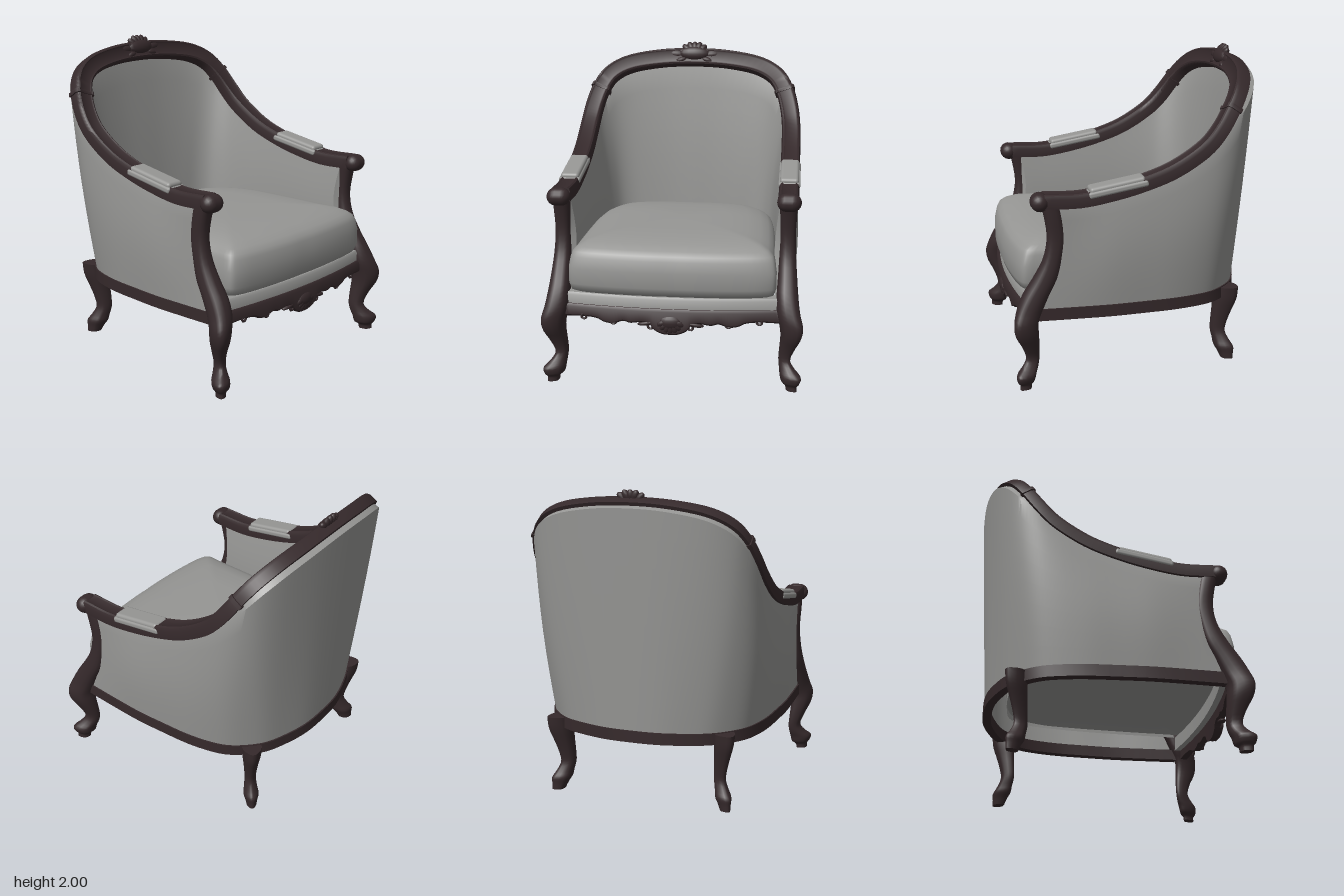
import * as THREE from 'three';
import { toCreasedNormals } from 'three/addons/utils/BufferGeometryUtils.js';
import { RoundedBoxGeometry } from 'three/addons/geometries/RoundedBoxGeometry.js';

const V = (x, y, z) => new THREE.Vector3(x, y, z);
const smooth = THREE.MathUtils.smoothstep;

// Skin a list of rings; closed solids are turned so their faces point outwards
function loft(rings, { closed = true, caps = true, crease = 0.7 } = {}) {
  const m = rings[0].length, n = rings.length, idx = [];
  const pts = rings.flat();
  for (let i = 0; i < n - 1; i++) {
    for (let j = 0; j < (closed ? m : m - 1); j++) {
      const a = i * m + j, b = i * m + (j + 1) % m;
      idx.push(a, b, b + m, a, b + m, a + m);
    }
  }
  if (caps) {
    for (const i of [0, n - 1]) {
      const c = pts.length;
      pts.push(rings[i].reduce((s, p) => s.add(p), V(0, 0, 0)).divideScalar(m));
      for (let j = 0; j < m; j++) {
        const a = i * m + j, b = i * m + (j + 1) % m;
        i ? idx.push(c, a, b) : idx.push(c, b, a);
      }
    }
  }
  let volume = 0;
  for (let k = 0; k < idx.length; k += 3) {
    volume += pts[idx[k]].dot(V(0, 0, 0).crossVectors(pts[idx[k + 1]], pts[idx[k + 2]]));
  }
  if (volume < 0) idx.reverse();
  const g = new THREE.BufferGeometry().setFromPoints(pts);
  g.setIndex(idx);
  return toCreasedNormals(g, crease);
}

// Half of a path, completed by mirroring across x = 0
const mirrored = (half) => new THREE.CatmullRomCurve3([
  ...half.map((p) => V(...p)),
  ...half.slice(0, -1).reverse().map(([x, y, z]) => V(-x, y, z)),
]);

const railPath = mirrored([
  [0.71, 1.19, 0.62], [0.71, 1.185, 0.4], [0.71, 1.215, 0.2], [0.71, 1.265, 0],
  [0.71, 1.34, -0.2], [0.705, 1.47, -0.4], [0.69, 1.57, -0.49], [0.655, 1.68, -0.565],
  [0.595, 1.77, -0.625], [0.48, 1.835, -0.675], [0.25, 1.878, -0.715], [0, 1.89, -0.725]]);
const outerBase = mirrored([
  [0.735, 0.5, 0.66], [0.745, 0.5, 0.42], [0.75, 0.5, 0.2], [0.74, 0.5, 0],
  [0.725, 0.5, -0.2], [0.69, 0.5, -0.37], [0.65, 0.5, -0.47], [0.58, 0.5, -0.56],
  [0.48, 0.5, -0.645], [0.35, 0.5, -0.7], [0.18, 0.5, -0.745], [0, 0.5, -0.755]]);
const innerBase = mirrored([
  [0.64, 0.58, 0.64], [0.635, 0.58, 0.4], [0.63, 0.58, 0.2], [0.62, 0.58, 0],
  [0.6, 0.58, -0.2], [0.57, 0.58, -0.37], [0.54, 0.58, -0.45], [0.49, 0.58, -0.53],
  [0.41, 0.58, -0.575], [0.28, 0.58, -0.595], [0.14, 0.58, -0.605], [0, 0.58, -0.605]]);

// Point on the rail, w inwards across its face and n out of its face
function railPoint(t, w, n) {
  const p = railPath.getPoint(t), T = railPath.getTangent(t);
  const rise = Math.max(0, p.y - 1.45);
  const I = V(-p.x, -rise, 0.4 * rise);
  I.addScaledVector(T, -I.dot(T)).normalize();
  const N = V(0, 0, 0).crossVectors(T, I);
  return p.addScaledVector(I, w).addScaledVector(N, n);
}
const RAIL = [[-0.06, -0.045], [-0.064, 0.015], [-0.056, 0.036], [-0.045, 0.042], [-0.035, 0.036],
  [0.035, 0.036], [0.045, 0.042], [0.056, 0.036], [0.064, 0.015], [0.06, -0.045]];
function railLoft(t0, t1, steps, scale) {
  const rings = [];
  for (let i = 0; i <= steps; i++) {
    const t = t0 + (t1 - t0) * i / steps;
    rings.push(RAIL.map(([w, n]) => railPoint(t, w * scale, n * scale)));
  }
  return loft(rings);
}

// Upright carved member from rows of [y, x0, x1, z0, z1], flattened below the seat along a diagonal
function legLoft(rows, side, diagonal) {
  const mid = new THREE.CatmullRomCurve3(rows.map(([y, a, b, c, d]) => V((a + b) / 2, y, (c + d) / 2)));
  const half = new THREE.CatmullRomCurve3(rows.map(([y, a, b, c, d]) => V((b - a) / 2, y, (d - c) / 2)));
  const rings = [], steps = rows.length * 3, sq = (v) => Math.sign(v) * Math.abs(v) ** 0.75;
  for (let i = 0; i <= steps; i++) {
    const c = mid.getPoint(i / steps), h = half.getPoint(i / steps);
    const skew = Math.PI / 4 - 0.22 * (1 - smooth(c.y, 0.4, 0.65));
    rings.push(Array.from({ length: 16 }, (_, k) => {
      const a = (k + 0.5) / 16 * Math.PI * 2;
      return V(side * (c.x + h.x * sq(Math.cos(a - skew))), Math.max(0, c.y),
        c.z + diagonal * h.z * sq(Math.cos(a + skew)));
    }));
  }
  return loft(rings, { crease: 0.9 });
}
const FRONT_LEG = [
  [1.16, 0.655, 0.765, 0.52, 0.635], [1.08, 0.66, 0.765, 0.505, 0.615], [0.95, 0.665, 0.76, 0.49, 0.6],
  [0.82, 0.66, 0.765, 0.51, 0.625], [0.7, 0.655, 0.775, 0.54, 0.69], [0.6, 0.65, 0.785, 0.59, 0.755],
  [0.5, 0.65, 0.8, 0.63, 0.8], [0.42, 0.67, 0.82, 0.66, 0.82], [0.35, 0.68, 0.81, 0.66, 0.81],
  [0.26, 0.675, 0.77, 0.655, 0.765], [0.18, 0.67, 0.745, 0.655, 0.745], [0.13, 0.675, 0.775, 0.665, 0.775],
  [0.09, 0.68, 0.815, 0.68, 0.81], [0.05, 0.69, 0.805, 0.69, 0.805], [0.03, 0.715, 0.79, 0.71, 0.79],
  [0, 0.72, 0.79, 0.715, 0.79]];
// Rows of [y, shift outwards along the diagonal, half width]
const BACK_LEG = [[0.5, 0, 0.067], [0.42, -0.01, 0.068], [0.33, -0.025, 0.056], [0.25, -0.038, 0.047],
  [0.18, -0.043, 0.043], [0.12, -0.025, 0.05], [0.08, -0.01, 0.058], [0.04, 0, 0.046], [0, 0.008, 0.037],
].map(([y, d, h]) => [y, 0.565 + d - h, 0.565 + d + h, -0.602 - d - h, -0.602 - d + h]);

// Bowed strip across the front between a top edge and a bottom edge
function frontStrip(bottom, top, z, depth) {
  const rings = [];
  for (let i = -40; i <= 40; i++) {
    const p = bottom.getPoint(Math.abs(i) / 40), x = Math.sign(i) * p.x;
    const f = z + 0.055 * (1 - (x / 0.67) ** 2);
    rings.push([V(x, top, f - 0.012), V(x, top - 0.015, f), V(x, p.y + 0.012, f), V(x, p.y, f - 0.012),
      V(x, p.y, f - depth), V(x, top, f - depth)]);
  }
  return loft(rings);
}

export function createModel() {
  const model = new THREE.Group();
  model.name = 'armchair';
  const wood = new THREE.MeshStandardMaterial({ name: 'dark wood', color: 0x35292b });
  const fabric = new THREE.MeshStandardMaterial({ name: 'grey fabric', color: 0x969694, side: THREE.DoubleSide });
  const add = (name, geometry, material, parent = model) => {
    const mesh = new THREE.Mesh(geometry, material);
    mesh.name = name;
    parent.add(mesh);
    return mesh;
  };

  // Upholstered wrap: outer wall, tucked into the rail, and lining back down
  const wrap = [], S = 88;
  for (let i = 0; i <= S; i++) {
    const t = 0.012 + 0.976 * i / S, end = i === 0 || i === S;
    const high = smooth(railPath.getPoint(t).y, 1.4, 1.85);
    const belly = 0.03 * smooth(Math.min(t, 1 - t), 0.01, 0.1);
    const wall = (base, w, n, bulgeX, bulgeZ) => Array.from({ length: 9 }, (_, k) => {
      const v = k / 8, p = base.getPoint(i / S).lerp(railPoint(t, w, n), v), b = Math.sin(Math.PI * v);
      p.x *= 1 + bulgeX * b;
      p.z *= 1 + bulgeZ * b;
      if (end) p.z -= 0.05 * b;
      return p;
    });
    wrap.push([...wall(outerBase, -0.04, -0.04 - 0.045 * high, belly, 0), railPoint(t, -0.035, -0.02),
      ...wall(innerBase, 0.05, -0.03, -0.03, -0.025).reverse()]);
  }
  add('upholsteredBack', loft(wrap, { closed: false }), fabric);

  // Curved top rail and its collars
  add('topRail', railLoft(0, 1, 110, 1), wood);
  add('leftRailCollar', railLoft(0.314, 0.323, 2, 1.15), wood);
  add('rightRailCollar', railLoft(0.677, 0.686, 2, 1.15), wood);

  // Seat rail around sides and back
  const seatRail = [];
  for (let i = 0; i <= 60; i++) {
    const p = outerBase.getPoint(i / 60), T = outerBase.getTangent(i / 60), I = V(T.z, 0, -T.x);
    seatRail.push([[-0.01, 0.505], [-0.01, 0.43], [0.045, 0.43], [0.045, 0.505]].map(([w, y]) =>
      V(p.x + I.x * w, y, p.z + I.z * w)));
  }
  add('seatRail', loft(seatRail), wood);

  // Scalloped apron and padded band above it
  const scallop = new THREE.SplineCurve([[0, 0.348], [0.05, 0.352], [0.1, 0.375], [0.13, 0.41], [0.18, 0.425],
    [0.25, 0.415], [0.3, 0.425], [0.36, 0.405], [0.42, 0.41], [0.47, 0.432], [0.56, 0.438], [0.67, 0.43],
  ].map((p) => new THREE.Vector2(...p)));
  const level = new THREE.LineCurve(new THREE.Vector2(0, 0.49), new THREE.Vector2(0.665, 0.49));
  add('frontApron', frontStrip(scallop, 0.515, 0.745, 0.06), wood);
  add('frontBand', frontStrip(level, 0.585, 0.725, 0.08), fabric);

  // Crowned seat cushion, sinking a little towards the back
  const plan = mirrored([[0, 0, 0.8], [0.15, 0, 0.8], [0.4, 0, 0.785], [0.59, 0, 0.755], [0.64, 0, 0.725],
    [0.64, 0, 0.6], [0.63, 0, 0.2], [0.61, 0, -0.15], [0.58, 0, -0.36], [0.49, 0, -0.53], [0.32, 0, -0.6],
    [0, 0, -0.61]]);
  const cushion = [[0.59, 0.95], [0.605, 0.985], [0.65, 1.005], [0.75, 1.005], [0.82, 0.985], [0.85, 0.965],
    [0.875, 0.92], [0.9, 0.84], [0.92, 0.7], [0.932, 0.45], [0.935, 0.02]].map(([y, s]) =>
    Array.from({ length: 88 }, (_, k) => {
      const p = plan.getPoint(k / 88), z = 0.1 + (p.z - 0.1) * s;
      return V(p.x * s, y - 0.035 * smooth(y, 0.6, 0.85) * smooth(-z, 0, 0.6), z);
    }));
  add('seatCushion', loft(cushion, { crease: 1 }), fabric);

  // Carved lobe: a flattened ellipsoid growing from its base at an angle
  const lobe = (parent, x, y, z, len, wide, angle) => {
    const g = new THREE.SphereGeometry(1, 12, 8).scale(wide, len / 2, 0.026).translate(0, len / 2, 0);
    const mesh = add('carvedLobe', g, wood, parent);
    mesh.position.set(x, y, z);
    mesh.rotation.z = angle;
  };
  const boss = (parent, y, z, wide, tall) =>
    add('carvedBoss', new THREE.SphereGeometry(1, 16, 10).scale(wide, tall, 0.035), wood, parent).position.set(0, y, z);
  const crest = new THREE.Group();
  crest.name = 'crestCarving';
  crest.position.set(0, 1.9, -0.705);
  crest.rotation.x = -0.35;
  model.add(crest);
  for (let i = -3; i <= 3; i++) lobe(crest, 0, 0, 0, 0.106 + 0.006 * Math.abs(i), 0.028, -i * 0.4);
  boss(crest, 0.02, 0.005, 0.11, 0.05);
  const shell = new THREE.Group();
  shell.name = 'apronCarving';
  model.add(shell);
  for (let i = -3; i <= 3; i++) lobe(shell, 0, 0.45, 0.785, 0.1, 0.027, Math.PI - i * 0.38);
  boss(shell, 0.43, 0.782, 0.08, 0.05);

  for (const s of [1, -1]) {
    const side = s > 0 ? 'left' : 'right';
    // Legs, with the front ones rising to carry the arms
    add(side + 'FrontLegAndPost', legLoft(FRONT_LEG, s, 1), wood);
    add(side + 'BackLeg', legLoft(BACK_LEG, s, -1), wood);

    // Rounded arm end
    const knob = add(side + 'ArmEnd', new THREE.CapsuleGeometry(0.057, 0.036, 6, 16), wood);
    knob.rotation.z = Math.PI / 2;
    knob.position.set(s * 0.716, 1.18, 0.642);

    // Arm pad on a slim piped base
    const pad = new THREE.Group();
    pad.name = side + 'ArmPad';
    pad.position.set(s * 0.71, 1.25, 0.165);
    pad.rotation.x = 0.17;
    model.add(pad);
    add('padCushion', new RoundedBoxGeometry(0.12, 0.07, 0.35, 3, 0.02), fabric, pad);
    add('padPiping', new RoundedBoxGeometry(0.14, 0.04, 0.375, 2, 0.015), fabric, pad).position.y = -0.008;

    // Leaves and scrolls beside the carvings
    lobe(crest, s * 0.06, 0.012, -0.005, 0.13, 0.032, -s * 1.5);
    lobe(crest, s * 0.05, -0.015, 0, 0.09, 0.022, -s * 1.85);
    lobe(shell, s * 0.09, 0.43, 0.777, 0.12, 0.016, -s * 1.75);
    lobe(shell, s * 0.47, 0.44, 0.75, 0.13, 0.016, s * 1.8);
    for (const [x, y, z] of [[0.125, 0.4, 0.785], [0.36, 0.42, 0.775], [0.55, 0.44, 0.755]]) {
      add(side + 'ApronScroll', new THREE.TorusGeometry(0.016, 0.008, 6, 14), wood, shell).position.set(s * x, y, z);
    }
  }
  return model;
}
